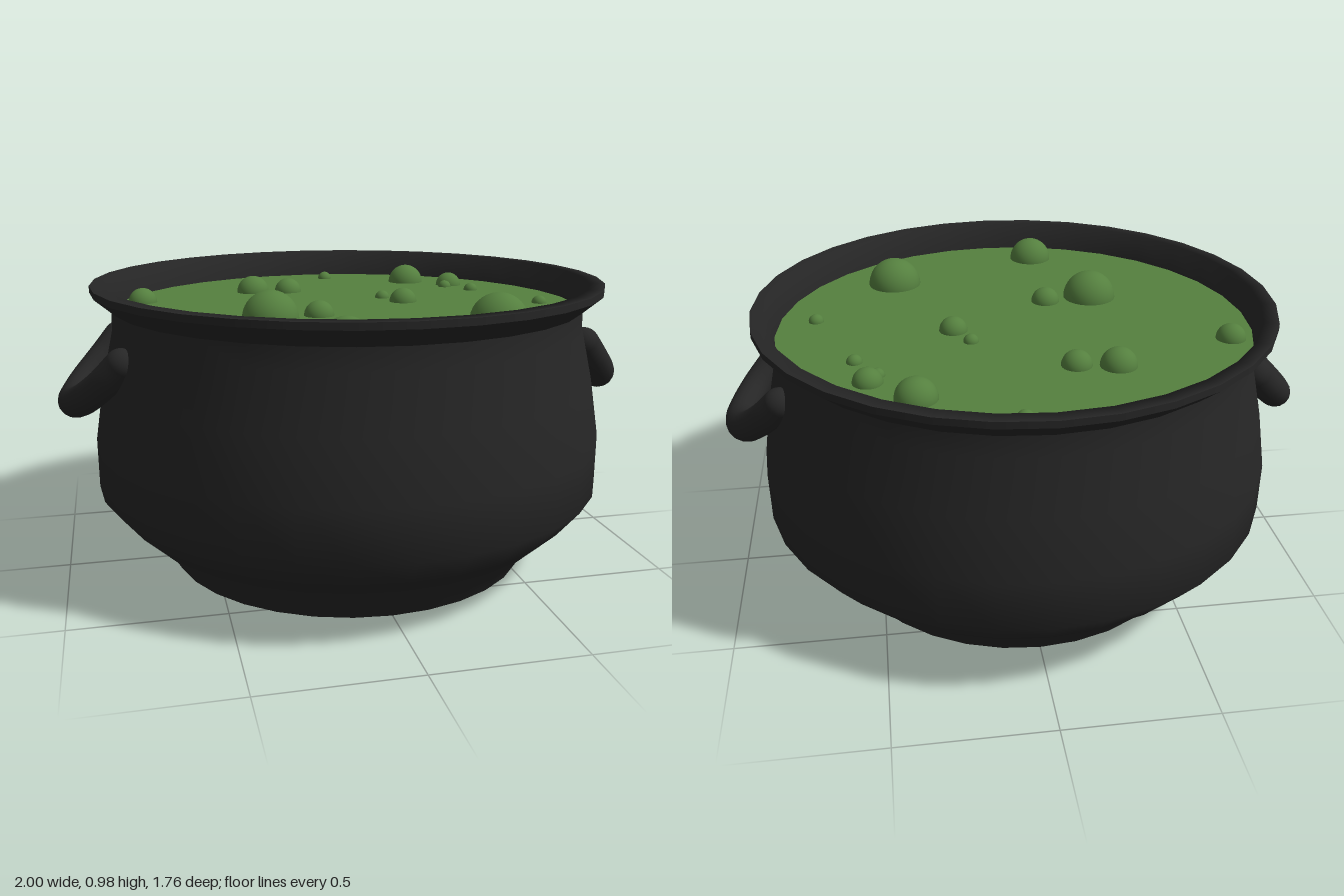
import * as THREE from 'three';

export function createModel() {
  const model = new THREE.Group();
  model.name = 'cauldron';
  const iron = new THREE.MeshStandardMaterial({ color: 0x262626 });
  iron.name = 'black iron';
  const brew = new THREE.MeshStandardMaterial({ color: 0x55803f });
  brew.name = 'green brew';

  const add = (name, geometry, material, parent = model) => {
    const mesh = new THREE.Mesh(geometry, material);
    mesh.name = name;
    parent.add(mesh);
    return mesh;
  };
  const lathe = (points) =>
    new THREE.LatheGeometry(points.map(([r, y]) => new THREE.Vector2(r, y)), 32);

  // Pot, split at its sharp edges so the belly stays smooth
  const pot = new THREE.Group();
  pot.name = 'pot';
  model.add(pot);
  add('base', lathe([[0, 0], [0.63, 0]]), iron, pot);
  add('belly', lathe([
    [0.63, 0], [0.67, 0.065], [0.805, 0.193], [0.88, 0.285],
    [0.88, 0.455], [0.848, 0.65], [0.807, 0.83], [0.805, 0.9],
  ]), iron, pot);
  add('rimUnderside', lathe([[0.805, 0.9], [0.873, 0.958]]), iron, pot);
  add('rimEdge', lathe([[0.873, 0.958], [0.873, 0.98]]), iron, pot);
  add('rimLip', lathe([[0.873, 0.98], [0.825, 0.98], [0.8, 0.87]]), iron, pot);

  // Brew surface
  const surfaceY = 0.886;
  const surface = add('brewSurface', new THREE.CircleGeometry(0.804, 32), brew);
  surface.rotation.x = -Math.PI / 2;
  surface.position.y = surfaceY;

  // Bubbles, half sunk: x, z, radius
  const bubbles = new THREE.Group();
  bubbles.name = 'bubbles';
  model.add(bubbles);
  [
    [0.06, -0.675, 0.027], [0.36, -0.51, 0.067], [0.5, -0.385, 0.048],
    [0.47, -0.34, 0.024], [0.54, -0.235, 0.026], [-0.28, -0.37, 0.06],
    [-0.15, -0.35, 0.05], [-0.695, -0.215, 0.05], [0.16, -0.125, 0.026],
    [0.21, -0.025, 0.048], [0.67, 0.115, 0.026], [-0.305, 0.22, 0.093],
    [-0.14, 0.195, 0.05], [0.39, 0.445, 0.095], [-0.155, 0.66, 0.078],
  ].forEach(([x, z, r]) => {
    const dome = new THREE.SphereGeometry(r, 24, 10, 0, Math.PI * 2, 0, Math.PI / 2);
    add('bubble', dome, brew, bubbles).position.set(x, surfaceY, z);
  });

  // Drooping loop handles with rounded ends
  const tubeRadius = 0.052;
  for (const side of [1, -1]) {
    const handle = new THREE.Group();
    handle.name = side > 0 ? 'leftHandle' : 'rightHandle';
    const path = new THREE.CatmullRomCurve3([
      [0.785, 0.765, 0.25], [0.842, 0.7, 0.215], [0.912, 0.63, 0.135],
      [0.947, 0.597, 0],
      [0.912, 0.63, -0.135], [0.842, 0.7, -0.215], [0.785, 0.765, -0.25],
    ].map((p) => new THREE.Vector3(...p)));
    add('loop', new THREE.TubeGeometry(path, 32, tubeRadius, 16), iron, handle);
    for (const t of [0, 1]) {
      add('loopEnd', new THREE.SphereGeometry(tubeRadius, 16, 12), iron, handle)
        .position.copy(path.getPoint(t));
    }
    if (side < 0) handle.rotation.y = Math.PI;
    model.add(handle);
  }
  return model;
}
